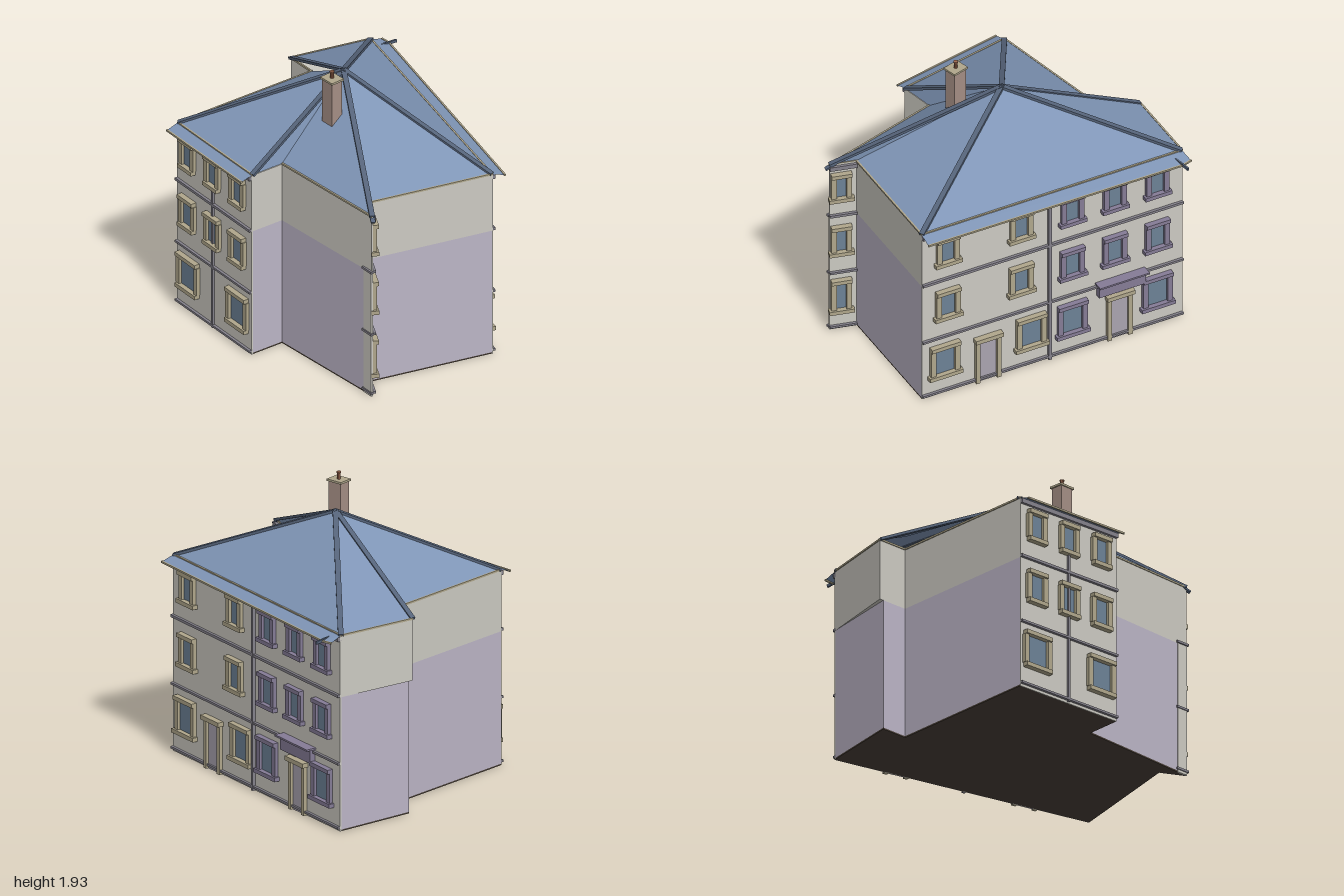
import * as THREE from 'three';

const mat = (color, side = THREE.FrontSide) => new THREE.MeshStandardMaterial({ color, side, flatShading: true });
const M = {
  wall: mat(0xcccac2), party: mat(0xbcb5c6), roof: mat(0x7f95b6, THREE.DoubleSide), hip: mat(0x56647a),
  tan: mat(0xb0a78c), mauve: mat(0x857c96), glass: mat(0x6d8296), band: mat(0x85828c),
  brick: mat(0xa58f85), pot: mat(0xa06a50), base: mat(0x4a4038), door: mat(0xaaa4b0),
};

// Footprint corners [x, z]
const A = [-0.87, -0.79], B = [0.97, -0.37], C = [0.78, 0.49], D = [0.94, 0.57], E = [0.05, 0.62];
const F = [0.05, 0.86], G = [-0.77, 0.835], H = [-0.77, -0.24], I = [-0.99, -0.24], ILow = [-0.96, -0.24];
const EAVE = 1.33, APEX = [-0.06, 1.77, 0.04];
const at = (p, y = EAVE) => [p[0], y, p[1]];

function add(parent, name, geo, material, x = 0, y = 0, z = 0) {
  const m = new THREE.Mesh(geo, material);
  m.name = name;
  m.position.set(x, y, z);
  parent.add(m);
  return m;
}
const box = (parent, name, material, w, h, d, x, y, z) =>
  add(parent, name, new THREE.BoxGeometry(w, h, d), material, x, y, z);

// Vertical prism over a footprint
function prism(parent, name, pts, y0, y1, material) {
  const shape = new THREE.Shape(pts.map(([x, z]) => new THREE.Vector2(x, -z)));
  const geo = new THREE.ExtrudeGeometry(shape, { depth: y1 - y0, bevelEnabled: false });
  geo.rotateX(-Math.PI / 2);
  return add(parent, name, geo, material, 0, y0, 0);
}

// Flat polygons, each split into a fan from its first corner
function planes(parent, name, polys, material) {
  const v = [];
  for (const p of polys)
    for (let i = 1; i < p.length - 1; i++) v.push(...p[0], ...p[i], ...p[i + 1]);
  const geo = new THREE.BufferGeometry();
  geo.setAttribute('position', new THREE.Float32BufferAttribute(v, 3));
  geo.computeVertexNormals();
  return add(parent, name, geo, material);
}

// Straight bar between two points
function beam(parent, name, a, b, w, h, material) {
  const p = new THREE.Vector3(...a), q = new THREE.Vector3(...b);
  const m = add(parent, name, new THREE.BoxGeometry(w, h, p.distanceTo(q)), material);
  m.position.copy(p).add(q).multiplyScalar(0.5);
  m.lookAt(q);
  return m;
}

// Group with local x along the wall from p to q and local z pointing outward
function facade(parent, name, p, q) {
  const g = new THREE.Group(), dx = q[0] - p[0], dz = q[1] - p[1], len = Math.hypot(dx, dz);
  g.name = name;
  g.position.set(p[0], 0, p[1]);
  g.rotation.y = Math.atan2(-dz, dx);
  parent.add(g);
  box(g, 'facadeWall', M.wall, len, EAVE, 0.012, len / 2, EAVE / 2, 0);
  for (const [y, h] of [[0.025, 0.015], [0.46, 0.015], [0.92, 0.018], [1.305, 0.03]])
    box(g, 'stringCourse', M.band, len, h, 0.03, len / 2, y, 0.01);
  return { g, len };
}

// Window: glass, jambs, head and sill; w and h are the glass size
function windowUnit(parent, x, y, w, h, trim, wideSill) {
  const g = new THREE.Group();
  g.name = 'window';
  g.position.set(x, y, 0);
  parent.add(g);
  const j = 0.036, t = 0.028;
  box(g, 'glass', M.glass, w, h, 0.01, 0, 0, 0.006);
  for (const s of [-1, 1]) box(g, 'jamb', trim, j, h, 0.035, s * (w + j) / 2, 0, 0.014);
  const ends = wideSill ? w + 2 * j + 0.03 : w + 0.06;
  box(g, 'head', trim, wideSill ? w + 2 * j : ends, t, 0.05, 0, (h + t) / 2, 0.02);
  box(g, 'sill', trim, ends, t, 0.05, 0, -(h + t) / 2, 0.02);
}

function doorUnit(parent, x, trim) {
  const g = new THREE.Group();
  g.name = 'door';
  g.position.x = x;
  parent.add(g);
  box(g, 'doorLeaf', M.door, 0.12, 0.33, 0.012, 0, 0.165, 0.006);
  for (const s of [-1, 1]) box(g, 'doorJamb', trim, 0.03, 0.33, 0.035, s * 0.075, 0.165, 0.014);
  box(g, 'doorHead', trim, 0.2, 0.03, 0.055, 0, 0.345, 0.022);
}

// Rows of [centre y, glass width, glass height]
const TOP = [1.15, 0.09, 0.165], MID = [0.72, 0.1, 0.175], LOW = [0.27, 0.16, 0.2];

export function createModel() {
  const root = new THREE.Group();
  root.name = 'cornerHouse';

  // Walls
  prism(root, 'groundSlab', [G, F, E, D, C, B, A, ILow, H], 0, 0.01, M.base);
  prism(root, 'lowerWalls', [G, F, E, D, C, B, A, ILow, H], 0.01, 0.91, M.party);
  prism(root, 'upperWalls', [G, F, E, D, C, B, A, I, H], 0.91, EAVE - 0.005, M.wall);

  // Front facade
  const front = facade(root, 'frontFacade', G, F);
  for (const x of [0.13, 0.405, 0.68]) {
    windowUnit(front.g, x, ...TOP, M.tan, false);
    windowUnit(front.g, x, ...MID, M.tan, false);
  }
  for (const x of [0.135, 0.68]) windowUnit(front.g, x, ...LOW, M.tan, false);
  box(front.g, 'drainpipe', M.band, 0.018, 1.03, 0.022, 0.405, 0.525, 0.012);

  // Street facade at the back, in two colours of trim
  const back = facade(root, 'backFacade', B, A);
  for (const u of [0.096, 0.378, 0.574, 0.737, 0.9]) {
    const trim = u < 0.488 ? M.tan : M.mauve;
    windowUnit(back.g, u * back.len, ...TOP, trim, true);
    windowUnit(back.g, u * back.len, ...MID, trim, true);
  }
  for (const u of [0.085, 0.416, 0.574, 0.9])
    windowUnit(back.g, u * back.len, 0.27, 0.14, 0.2, u < 0.488 ? M.tan : M.mauve, true);
  doorUnit(back.g, 0.25 * back.len, M.tan);
  doorUnit(back.g, 0.755 * back.len, M.tan);
  box(back.g, 'drainpipe', M.band, 0.022, 1.3, 0.025, 0.488 * back.len, 0.65, 0.014);
  box(back.g, 'signBoard', M.mauve, 0.34, 0.09, 0.04, 0.76 * back.len, 0.43, 0.025);
  box(back.g, 'signCanopy', M.mauve, 0.36, 0.012, 0.075, 0.76 * back.len, 0.482, 0.04);

  // Narrow return facade and its front edge
  const side = facade(root, 'returnFacade', D, C);
  for (const row of [TOP, MID, [0.27, 0.09, 0.21]]) windowUnit(side.g, 0.075, row[0], 0.065, row[2], M.tan, true);
  const edge = new THREE.Group();
  edge.name = 'returnEdge';
  edge.position.set(D[0], 0, D[1]);
  root.add(edge);
  box(edge, 'edgeWall', M.wall, 0.08, 0.91, 0.012, -0.04, 0.455, 0.003);
  for (const y of [0.025, 0.46, 0.92]) box(edge, 'edgeBand', M.band, 0.1, 0.015, 0.02, -0.04, y, 0.006);

  // Roof: planes meeting at one peak, the left wing oversailing the inner corner
  const onHip = t => APEX.map((v, i) => v + (at(I)[i] - v) * t);
  const loop = [G, F, E, D, C, B, A];
  const faces = loop.slice(0, -1).map((p, i) => [APEX, at(p), at(loop[i + 1])]);
  faces.push([APEX, at(H), at(G)]);
  faces.push([APEX, at(A), at(I), [H[0], 1.418, H[1]], onHip(0.763)]);
  planes(root, 'roof', faces, M.roof);
  const f0 = [-0.775, 1.3, 0.92], f1 = [0.045, 1.3, 0.942];
  const b0 = [0.99, 1.3, -0.46], b1 = [-0.8, 1.3, -0.885], b2 = [-0.87, 1.3, -0.88];
  planes(root, 'eaveFlare', [[at(G), f0, f1, at(F)], [at(B), b0, b1, at(A)], [at(A), b1, b2]], M.roof);

  // Hip cappings and gutters
  for (const p of [A, B, D, F, G, I]) beam(root, 'hipCapping', at(p), APEX, 0.035, 0.018, M.hip);
  const gutters = [[f0, f1], [b0, b1], [b1, b2], [at(G), at(F)], [at(A), at(B)],
    [at(A), at(I)], [at(B), at(C)], [at(C), at(D)], [at(D), at(E)], [at(G), at(H)], [at(I), at(H)]];
  for (const [p, q] of gutters) beam(root, 'gutter', p, q, 0.012, 0.012, M.tan);
  beam(root, 'hipEnd', [-0.795, 1.31, -0.79], [-0.795, 1.3, -0.94], 0.012, 0.02, M.hip);
  beam(root, 'hipEnd', [0.9, 1.34, 0.55], [0.965, 1.3, 0.58], 0.03, 0.012, M.hip);

  // Chimney
  const chimney = new THREE.Group();
  chimney.name = 'chimney';
  chimney.position.set(0.125, 0, 0.275);
  chimney.rotation.y = 0.05;
  root.add(chimney);
  box(chimney, 'stack', M.brick, 0.1, 0.33, 0.085, 0, 1.7, 0);
  box(chimney, 'stackCap', M.tan, 0.118, 0.014, 0.1, 0, 1.872, 0);
  add(chimney, 'pot', new THREE.CylinderGeometry(0.011, 0.013, 0.05, 10), M.pot, 0, 1.9, 0);
  add(chimney, 'potRim', new THREE.CylinderGeometry(0.015, 0.015, 0.008, 10), M.pot, 0, 1.925, 0);
  return root;
}
